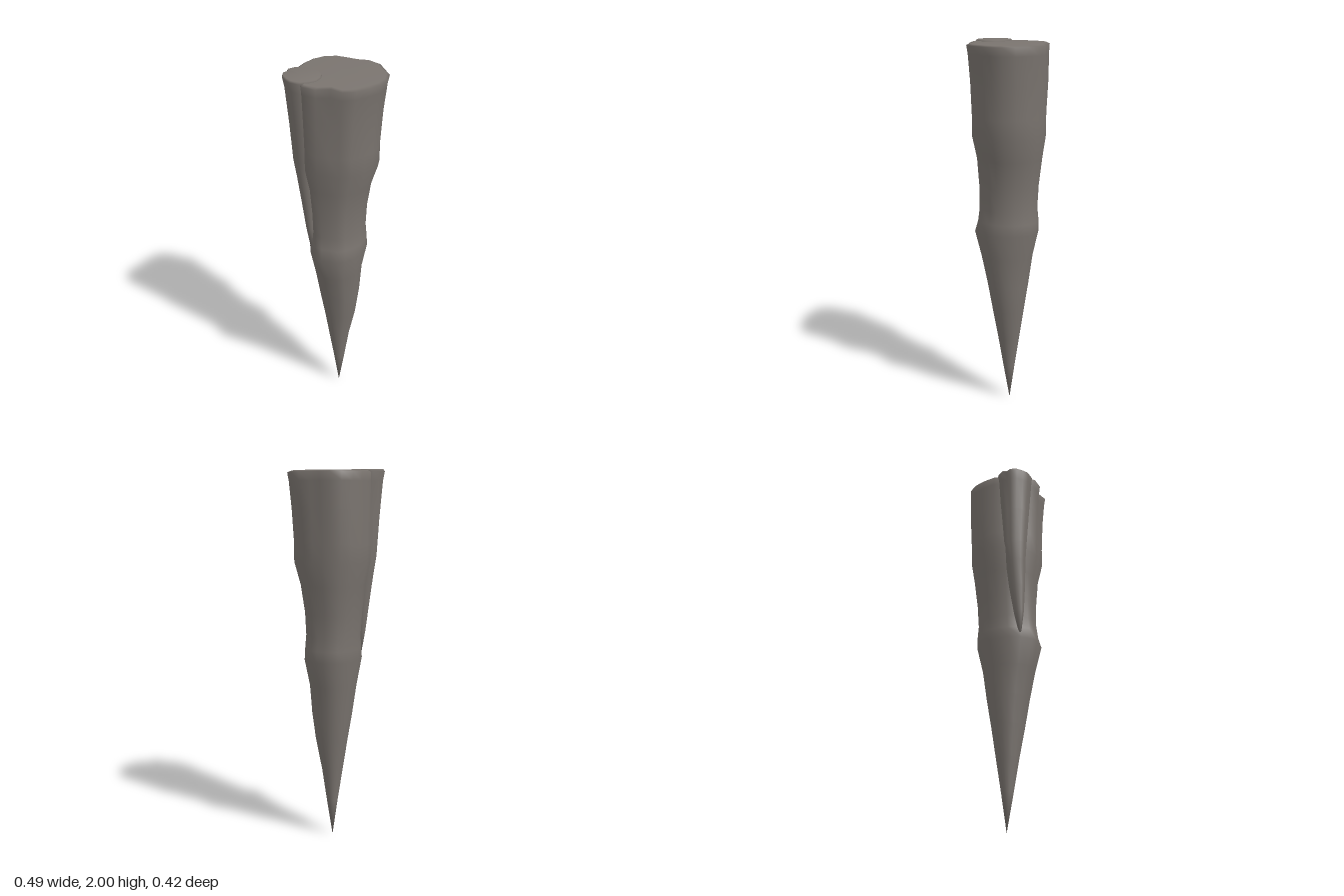
import * as THREE from 'three';

// Lofts a closed outline (unit-sized, counter-clockwise seen from above) through rows of
// [y, xLeft, xRight, zBack, zFront, roundness], from the flat cap down to a point.
function loft(outline, rows, tip, capLift) {
  const n = outline.length, pos = [], index = [];
  const ring = (row, shrink, lift) => {
    const [y, xl, xr, zb, zf, round] = row;
    for (const [u, v] of outline) {
      const len = Math.hypot(u, v);
      const a = THREE.MathUtils.lerp(u, u / len, round) * shrink;
      const b = THREE.MathUtils.lerp(v, v / len, round) * shrink;
      pos.push((xl + xr) / 2 + a * (xr - xl) / 2, y + lift, (zb + zf) / 2 + b * (zf - zb) / 2);
    }
  };
  // cap centre, inner cap ring, then the side rings
  const t = rows[0];
  pos.push((t[1] + t[2]) / 2, t[0] + capLift, (t[3] + t[4]) / 2);
  ring(t, 0.93, capLift);
  for (const row of rows) ring(row, 1, 0);
  const last = pos.length / 3;
  pos.push(...tip);
  for (let i = 0; i < n; i++) {
    const j = (i + 1) % n;
    index.push(0, 1 + i, 1 + j);
    for (let r = 0; r < rows.length; r++) {
      const a = 1 + r * n, b = a + n;
      index.push(a + i, b + i, b + j, a + i, b + j, a + j);
    }
    const e = 1 + rows.length * n;
    index.push(e + i, last, e + j);
  }
  const g = new THREE.BufferGeometry();
  g.setAttribute('position', new THREE.Float32BufferAttribute(pos, 3));
  g.setIndex(index);
  g.computeVertexNormals();
  return g;
}

export function createModel() {
  const group = new THREE.Group();
  group.name = 'stalactite';
  const stone = new THREE.MeshStandardMaterial({ color: 0x7a746f });
  stone.name = 'stone';

  // Irregular rim of the main column
  const rim = [
    [0.245, -0.01], [0.23, -0.08], [0.185, -0.135], [0.147, -0.185], [0.087, -0.21],
    [0.03, -0.2], [-0.03, -0.204], [-0.09, -0.205], [-0.147, -0.18], [-0.185, -0.13],
    [-0.205, -0.07], [-0.215, 0], [-0.2, 0.07], [-0.165, 0.14], [-0.105, 0.208],
    [-0.035, 0.212], [0.03, 0.18], [0.093, 0.197], [0.15, 0.163], [0.2, 0.1], [0.23, 0.053],
  ].map(([x, z]) => [(x - 0.015) / 0.23, z / 0.211]);

  const columnRows = [
    [1.985, -0.215, 0.245, -0.208, 0.211, 0],
    [1.94, -0.213, 0.235, -0.206, 0.205, 0.1],
    [1.8, -0.21, 0.217, -0.206, 0.196, 0.25],
    [1.62, -0.207, 0.205, -0.2, 0.19, 0.5],
    [1.52, -0.205, 0.205, -0.2, 0.19, 0.6],
    [1.4, -0.178, 0.167, -0.182, 0.167, 0.6],
    [1.25, -0.16, 0.145, -0.164, 0.157, 0.6],
    [1.13, -0.15, 0.14, -0.158, 0.156, 0.6],
    [1.06, -0.151, 0.146, -0.165, 0.165, 0.6],
    [1.0, -0.15, 0.152, -0.167, 0.182, 0.6],
    [0.86, -0.126, 0.125, -0.135, 0.147, 0.7],
    [0.7, -0.107, 0.113, -0.113, 0.112, 0.7],
    [0.55, -0.083, 0.093, -0.09, 0.085, 0.8],
    [0.38, -0.057, 0.057, -0.064, 0.056, 0.8],
    [0.2, -0.03, 0.03, -0.037, 0.026, 0.8],
  ];
  const column = new THREE.Mesh(loft(rim, columnRows, [-0.003, 0, -0.008], 0.008), stone);
  column.name = 'mainColumn';
  group.add(column);

  // Smaller spike fused to the front right of the column
  const spikeRim = [
    [-0.05, 0.1], [-0.06, 0.06], [-0.09, 0.03], [-0.135, 0.01], [-0.185, 0.01],
    [-0.22, 0.03], [-0.242, 0.06], [-0.231, 0.083], [-0.245, 0.11], [-0.23, 0.147],
    [-0.2, 0.175], [-0.17, 0.193], [-0.12, 0.196], [-0.08, 0.17], [-0.055, 0.14],
  ].map(([x, z]) => [(x + 0.1475) / 0.0975, (z - 0.103) / 0.093]);
  const spikeRows = [
    [1.99, -0.245, -0.05, 0.01, 0.196, 0],
    [1.94, -0.235, -0.055, 0.015, 0.19, 0],
    [1.75, -0.218, -0.065, 0.02, 0.175, 0.3],
    [1.55, -0.205, -0.075, 0.03, 0.16, 0.5],
    [1.45, -0.187, -0.082, 0.04, 0.152, 0.6],
    [1.3, -0.163, -0.083, 0.055, 0.145, 0.7],
    [1.15, -0.14, -0.09, 0.08, 0.135, 0.8],
  ];
  const spike = new THREE.Mesh(loft(spikeRim, spikeRows, [-0.108, 0.98, 0.112], 0.01), stone);
  spike.name = 'sideSpike';
  group.add(spike);

  return group;
}
